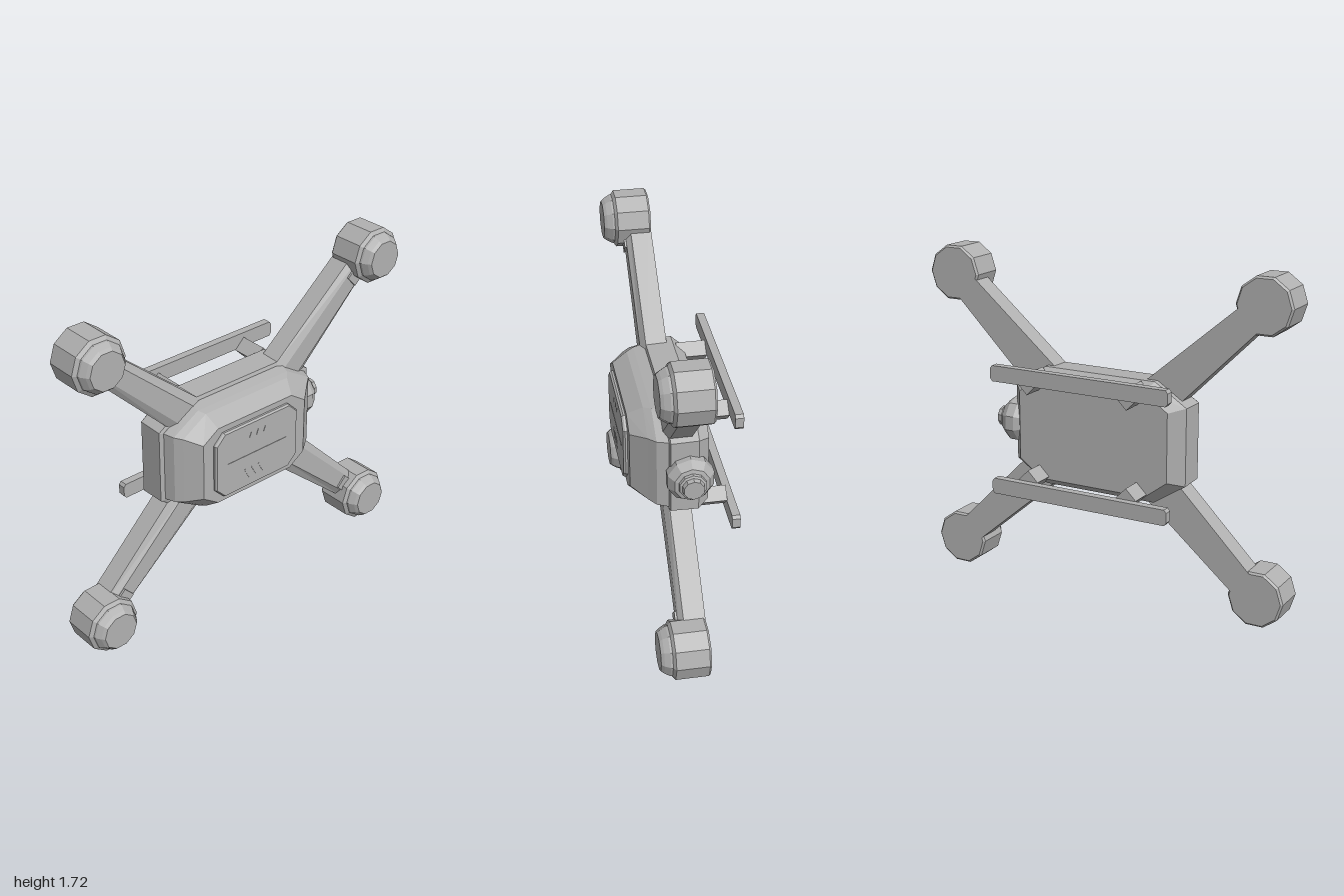
import * as THREE from 'three';

const grey = new THREE.MeshStandardMaterial({ color: 0xb0b0b0 });
grey.name = 'lightGrey';

// Splits shared vertices so every facet shades flat
function facet(geo) {
  const flat = geo.index ? geo.toNonIndexed() : geo;
  flat.computeVertexNormals();
  return flat;
}

function part(name, geo, parent) {
  const mesh = new THREE.Mesh(facet(geo), grey);
  mesh.name = name;
  parent.add(mesh);
  return mesh;
}

function box(name, w, h, d, x, y, z, parent) {
  const mesh = part(name, new THREE.BoxGeometry(w, h, d), parent);
  mesh.position.set(x, y, z);
  return mesh;
}

// Closed solid through equal-sized counter-clockwise rings, stacked along +z
function loft(rings) {
  const n = rings[0].length;
  const index = [];
  for (let k = 0; k < rings.length - 1; k++) {
    for (let i = 0; i < n; i++) {
      const j = (i + 1) % n;
      const a = k * n + i, b = k * n + j;
      index.push(a, b, b + n, a, b + n, a + n);
    }
  }
  const last = (rings.length - 1) * n;
  for (let i = 1; i < n - 1; i++) {
    index.push(0, i + 1, i, last, last + i, last + i + 1);
  }
  const geo = new THREE.BufferGeometry();
  geo.setAttribute('position', new THREE.Float32BufferAttribute(rings.flat(2), 3));
  geo.setIndex(index);
  return geo;
}

// Rectangle with cut corners
function octagon(cx, hx, hy, chX, chY, z) {
  return [
    [hx, -hy + chY], [hx, hy - chY], [hx - chX, hy], [-hx + chX, hy],
    [-hx, hy - chY], [-hx, -hy + chY], [-hx + chX, -hy], [hx - chX, -hy],
  ].map(([x, y]) => [x + cx, y, z]);
}

function turned(profile) {
  const points = profile.map(([r, y]) => new THREE.Vector2(r, y));
  return new THREE.LatheGeometry(points, 10, Math.PI / 2);
}

export function createModel() {
  const drone = new THREE.Group();
  drone.name = 'drone';
  const body = new THREE.Group();
  body.name = 'airframe';
  body.position.y = 0.858;
  drone.add(body);

  // Rear hull, a wide belt behind the front shell
  part('rearHull', loft([
    octagon(0, 0.415, 0.265, 0.12, 0.09, -0.12),
    octagon(-0.012, 0.477, 0.306, 0.17, 0.11, -0.065),
    octagon(-0.012, 0.477, 0.303, 0.17, 0.11, 0.07),
    octagon(-0.012, 0.46, 0.288, 0.16, 0.1, 0.075),
  ]), body);

  // Front shell, narrowing to a flat face
  part('frontShell', loft([
    octagon(-0.012, 0.455, 0.285, 0.16, 0.1, 0.07),
    octagon(-0.015, 0.435, 0.272, 0.15, 0.09, 0.13),
    octagon(-0.022, 0.4, 0.262, 0.14, 0.085, 0.165),
    octagon(-0.035, 0.325, 0.21, 0.09, 0.06, 0.24),
  ]), body);

  part('facePanel', loft([
    octagon(-0.037, 0.262, 0.18, 0.055, 0.055, 0.235),
    octagon(-0.037, 0.262, 0.18, 0.055, 0.055, 0.25),
    octagon(-0.037, 0.255, 0.173, 0.05, 0.05, 0.26),
  ]), body);

  // Fine trim on the face panel
  box('panelSeam', 0.38, 0.006, 0.004, -0.037, 0.0, 0.26, body);
  for (let i = -1; i <= 1; i++) {
    box('upperVent', 0.006, 0.03, 0.004, -0.037 + i * 0.045, 0.11, 0.26, body).rotation.z = -0.4;
    box('lowerVent', 0.006, 0.06, 0.004, -0.06 + i * 0.045, -0.1, 0.26, body).rotation.z = 0.5;
  }

  // Four arms with a motor pod at each tip
  const section = (w, s) => [
    [-w, -0.035], [w, -0.035], [w, 0.07], [w * 0.55, 0.095], [-w * 0.55, 0.095], [-w, 0.07],
  ].map(([x, y]) => [x, y, s]);
  const podProfile = [
    [0, -0.035], [0.135, -0.035], [0.145, -0.025], [0.145, 0.135], [0.126, 0.148],
    [0.124, 0.158], [0.108, 0.185], [0.095, 0.2], [0, 0.2],
  ];
  const Z = new THREE.Vector3(0, 0, 1);
  for (const sx of [1, -1]) {
    for (const sy of [1, -1]) {
      const tip = new THREE.Vector3(0.855 * sx, 0.72 * sy, 0);
      const root = new THREE.Vector3(0.28 * sx, 0.19 * sy, 0);
      const dir = tip.clone().sub(root);
      const length = dir.length();
      dir.normalize();
      const frame = new THREE.Matrix4()
        .makeBasis(new THREE.Vector3().crossVectors(Z, dir), Z, dir)
        .setPosition(root);

      part('arm', loft([section(0.1, 0), section(0.068, length)]).applyMatrix4(frame), body);
      const collar = new THREE.BoxGeometry(0.075, 0.04, 0.07);
      collar.translate(0, 0.085, length - 0.14);
      part('armCollar', collar.applyMatrix4(frame), body);

      const pod = part('motorPod', turned(podProfile).rotateX(Math.PI / 2), body);
      pod.position.copy(tip);
    }
  }

  // Side camera
  const camera = part('sideCamera', turned([
    [0, 0.41], [0.095, 0.42], [0.117, 0.45], [0.117, 0.495], [0.088, 0.535],
    [0.068, 0.54], [0.066, 0.555], [0.055, 0.56], [0.05, 0.583], [0, 0.583],
  ]).rotateZ(-Math.PI / 2), body);
  camera.position.z = -0.02;

  // Landing skids on diamond struts behind the hull
  for (const sy of [1, -1]) {
    part('skid', loft([
      octagon(0, 0.49, 0.04, 0.012, 0.015, -0.268),
      octagon(0, 0.49, 0.04, 0.012, 0.015, -0.227),
    ]), body).position.y = 0.292 * sy;
    for (const x of [-0.252, 0.302]) {
      box('skidStrut', 0.078, 0.078, 0.15, x, 0.25 * sy, -0.155, body).rotation.z = Math.PI / 4;
    }
  }

  return drone;
}
